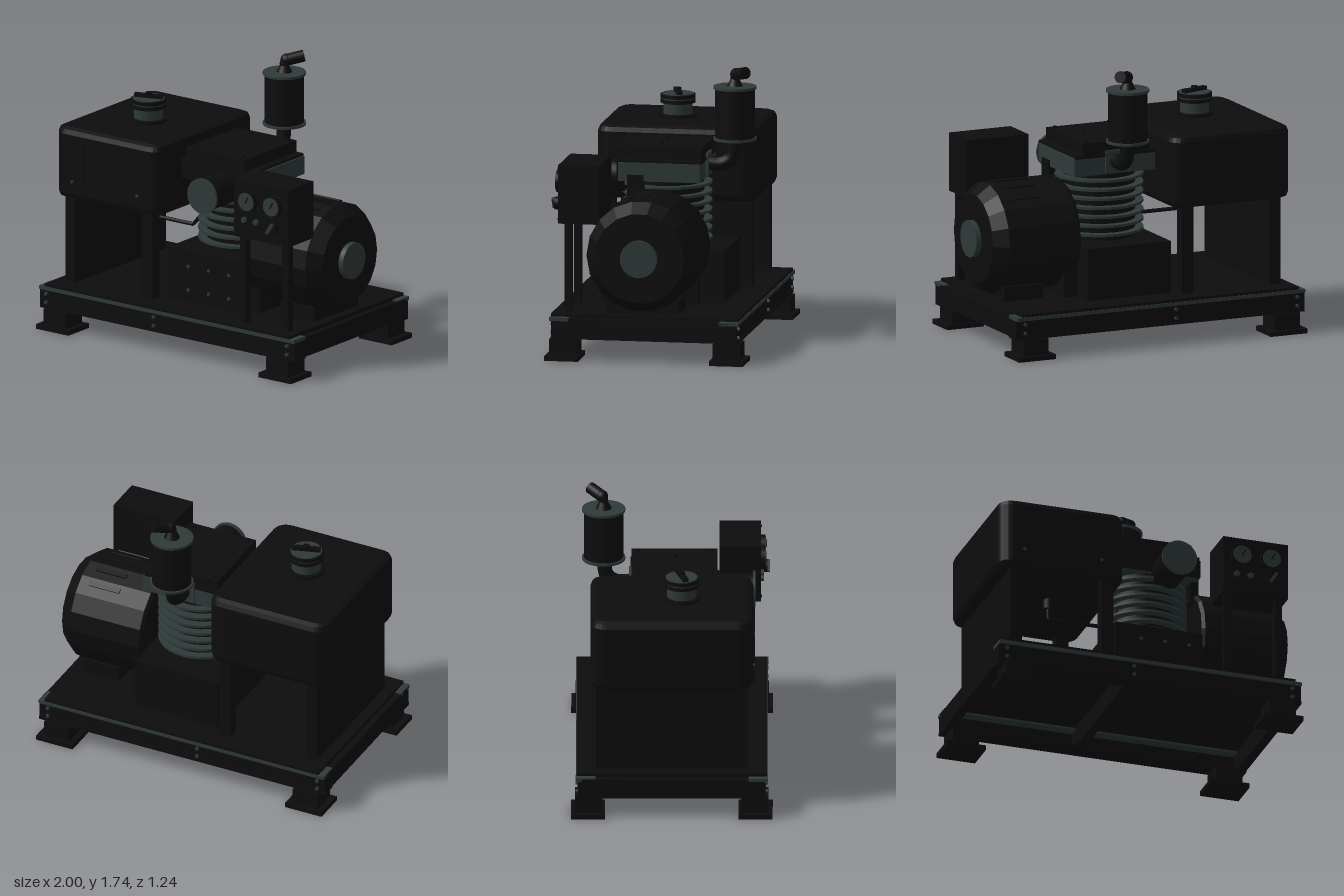
import * as THREE from 'three';

const mat = (name, color) => Object.assign(new THREE.MeshStandardMaterial({ color }), { name });

export function createModel() {
  const model = new THREE.Group();
  const black = mat('black paint', 0x0d0d0d);
  const steel = mat('dull steel', 0x2f3a39);

  const add = (name, geo, m, x = 0, y = 0, z = 0, parent = model) => {
    const mesh = new THREE.Mesh(geo, m);
    mesh.name = name;
    mesh.position.set(x, y, z);
    parent.add(mesh);
    return mesh;
  };
  // Box given by its limits on each axis
  const box = (name, m, x0, x1, y0, y1, z0, z1) =>
    add(name, new THREE.BoxGeometry(x1 - x0, y1 - y0, z1 - z0), m, (x0 + x1) / 2, (y0 + y1) / 2, (z0 + z1) / 2);
  // Cylinder along a chosen axis
  const cyl = (name, m, r, h, x, y, z, axis = 'y', sides = 32, r2 = r) => {
    const g = new THREE.CylinderGeometry(r, r2, h, sides);
    if (axis === 'x') g.rotateZ(-Math.PI / 2);
    if (axis === 'z') g.rotateX(Math.PI / 2);
    return add(name, g, m, x, y, z);
  };
  const tube = (name, m, pts, r, straight = false) => {
    const v = pts.map(p => new THREE.Vector3(...p));
    let path = new THREE.CatmullRomCurve3(v);
    if (straight) {
      path = new THREE.CurvePath();
      for (let i = 1; i < v.length; i++) path.add(new THREE.LineCurve3(v[i - 1], v[i]));
    }
    return add(name, new THREE.TubeGeometry(path, 40, r, 14), m);
  };

  // Skid frame: deck, channel rails with steel flanges, cross beams
  box('deck', black, -0.96, 0.92, 0.265, 0.29, -0.585, 0.585);
  for (const s of [-1, 1]) {
    const rail = (name, m, y0, y1, zi, zo) => box(name, m, -1, 0.96, y0, y1, Math.min(s * zi, s * zo), Math.max(s * zi, s * zo));
    rail('railTopFlange', steel, 0.25, 0.272, 0.47, 0.59);
    rail('railWeb', black, 0.13, 0.25, 0.535, 0.575);
    rail('railBottomFlange', black, 0.13, 0.15, 0.47, 0.58);
    for (const x of [-0.95, -0.125, 0.9])
      for (const y of [0.17, 0.225]) cyl('railBolt', steel, 0.012, 0.02, x, y, s * 0.58, 'z', 6);
    // Feet
    for (const x of [-0.875, 0.835]) {
      box('footPlate', black, x - 0.125, x + 0.125, 0, 0.03, s * 0.515 - 0.105, s * 0.515 + 0.105);
      box('footBlock', black, x - 0.085, x + 0.085, 0.03, 0.13, s * 0.51 - 0.085, s * 0.51 + 0.085);
    }
  }
  for (const x of [-0.97, -0.12, 0.93]) box('crossBeam', black, x - 0.03, x + 0.03, 0.14, 0.265, -0.55, 0.55);

  // Tank stand
  box('standEndPanel', black, -0.89, -0.815, 0.29, 0.84, -0.465, 0.465);
  for (const s of [-1, 1]) box('standPost', black, -0.3, -0.22, 0.29, 0.84, s * 0.43 - 0.035, s * 0.43 + 0.035);

  // Fuel tank with rounded corners and bevelled rims
  const w = 0.365, d = 0.46, c = 0.06;
  const plan = new THREE.Shape();
  plan.moveTo(-w + c, -d);
  plan.lineTo(w - c, -d);
  plan.quadraticCurveTo(w, -d, w, -d + c);
  plan.lineTo(w, d - c);
  plan.quadraticCurveTo(w, d, w - c, d);
  plan.lineTo(-w + c, d);
  plan.quadraticCurveTo(-w, d, -w, d - c);
  plan.lineTo(-w, -d + c);
  plan.quadraticCurveTo(-w, -d, -w + c, -d);
  const tank = new THREE.ExtrudeGeometry(plan, { depth: 0.375, bevelThickness: 0.04, bevelSize: 0.04, bevelSegments: 2, curveSegments: 6 });
  tank.rotateX(-Math.PI / 2);
  add('fuelTank', tank, black, -0.555, 0.87, 0);
  box('sightGauge', black, -0.735, -0.72, 0.93, 1.2, 0.5, 0.508);
  for (const x of [-0.81, -0.31]) cyl('tankBolt', steel, 0.01, 0.012, x, 0.95, 0.503, 'z', 8);

  // Filler neck and cap
  const fx = -0.555, fz = 0.06;
  cyl('fillerFlange', black, 0.115, 0.02, fx, 1.295, fz);
  cyl('fillerNeck', steel, 0.09, 0.08, fx, 1.34, fz);
  cyl('capSkirt', black, 0.108, 0.022, fx, 1.384, fz);
  cyl('capRing', steel, 0.1, 0.015, fx, 1.4, fz);
  cyl('capTop', black, 0.108, 0.022, fx, 1.415, fz);
  cyl('capFace', steel, 0.098, 0.006, fx, 1.428, fz);
  add('capHandle', new THREE.BoxGeometry(0.18, 0.025, 0.035), black, fx, 1.44, fz).rotation.y = 0.3;
  cyl('capKnob', black, 0.02, 0.02, fx, 1.455, fz);

  // Fuel valve and line
  cyl('fuelValve', black, 0.034, 0.06, -0.52, 0.79, 0.1, 'y', 8);
  cyl('fuelValveNeck', black, 0.018, 0.04, -0.52, 0.83, 0.1);
  tube('fuelLine', black, [[-0.52, 0.77, 0.1], [-0.52, 0.695, 0.1], [-0.18, 0.695, 0.1], [-0.02, 0.88, 0.1]], 0.012, true);

  // Crankcase with bolted cover
  box('crankcase', black, -0.175, 0.39, 0.29, 0.615, -0.4, 0.365);
  box('crankcaseCover', black, -0.06, 0.36, 0.33, 0.57, 0.365, 0.373);
  for (const x of [-0.01, 0.145, 0.3])
    for (const y of [0.37, 0.52]) cyl('coverBolt', steel, 0.011, 0.014, x, y, 0.376, 'z', 6);

  // Finned cylinder and head
  cyl('cylinderBarrel', black, 0.225, 0.45, 0.125, 0.825, 0);
  for (let i = 0; i < 7; i++) cyl('coolingFin', steel, 0.275, 0.016, 0.125, 0.655 + i * 0.057, 0, 'y', 40);
  box('cylinderHead', steel, -0.14, 0.41, 1.04, 1.155, -0.25, 0.26);
  box('headFrontPlate', black, -0.14, 0.41, 1.04, 1.155, 0.26, 0.268);
  box('headCover', black, -0.1, 0.35, 1.155, 1.245, -0.25, 0.28);
  box('headCoverRim', black, -0.14, 0.4, 1.15, 1.17, -0.255, 0.28);
  for (const x of [-0.06, 0.31])
    for (const z of [-0.21, 0.24]) cyl('headBolt', black, 0.012, 0.015, x, 1.25, z, 'y', 6);
  for (const x of [0.03, 0.22]) cyl('headPlug', black, 0.012, 0.015, x, 1.25, 0.02, 'y', 6);
  box('headBracket', black, 0.37, 0.42, 0.9, 1.08, 0.1, 0.2);

  // Air intake
  cyl('airIntake', black, 0.1, 0.25, 0.195, 1.04, 0.375, 'z');
  cyl('airIntakeCap', steel, 0.112, 0.016, 0.195, 1.04, 0.505, 'z');

  // Exhaust pipe, silencer and outlet
  const sx = 0.128, sz = -0.42;
  box('exhaustFlange', steel, 0.055, 0.2, 1.05, 1.19, -0.265, -0.25);
  tube('exhaustPipe', black, [[sx, 1.12, -0.26], [sx, 1.12, -0.34], [sx, 1.16, -0.4], [sx, 1.28, sz]], 0.045);
  cyl('silencerBody', black, 0.122, 0.32, sx, 1.437, sz);
  for (const y of [1.277, 1.597]) cyl('silencerCap', steel, 0.133, 0.016, sx, y, sz, 'y', 40);
  cyl('outletNeck', black, 0.025, 0.05, sx, 1.628, sz, 'y', 20, 0.05);
  tube('outletStem', black, [[sx, 1.63, sz], [sx, 1.665, sz], [sx + 0.02, 1.685, sz - 0.02]], 0.027);
  const horn = new THREE.CylinderGeometry(0.037, 0.037, 0.12, 20);
  const outlet = add('outletElbow', horn, black, 0.175, 1.69, -0.463);
  outlet.quaternion.setFromUnitVectors(new THREE.Vector3(0, 1, 0), new THREE.Vector3(0.65, 0.2, -0.6).normalize());
  add('outletKnuckle', new THREE.SphereGeometry(0.038, 16, 12), black, 0.138, 1.68, -0.43);

  // Alternator with stepped end bell, feet and vent ribs
  const profile = [[0, 0], [0.33, 0], [0.345, 0.02], [0.345, 0.49], [0.28, 0.575], [0, 0.575]].map(p => new THREE.Vector2(...p));
  const bell = new THREE.LatheGeometry(profile, 18).toNonIndexed();
  bell.rotateZ(-Math.PI / 2);
  bell.computeVertexNormals();
  add('alternator', bell, black, 0.39, 0.655, 0.025);
  cyl('alternatorHub', steel, 0.115, 0.035, 0.982, 0.655, 0.025, 'x');
  for (let i = -2; i <= 2; i++) {
    const a = i * 0.32;
    const rib = add('ventRib', new THREE.BoxGeometry(0.21, 0.012, 0.03), black, 0.71, 0.655 + 0.343 * Math.cos(a), 0.025 + 0.343 * Math.sin(a));
    rib.rotation.x = a;
  }
  box('alternatorFoot', black, 0.39, 0.48, 0.29, 0.5, -0.25, 0.3);
  box('alternatorRearFoot', black, 0.6, 0.86, 0.29, 0.38, -0.2, 0.25);

  // Control box on two posts
  box('controlBox', black, 0.465, 0.885, 0.845, 1.21, 0.29, 0.545);
  for (const x of [0.51, 0.835]) box('controlPost', black, x - 0.024, x + 0.024, 0.29, 0.845, 0.465, 0.51);
  for (const x of [0.58, 0.77]) {
    cyl('gaugeRim', black, 0.068, 0.03, x, 1.09, 0.558, 'z');
    cyl('gaugeFace', steel, 0.058, 0.008, x, 1.09, 0.573, 'z');
    add('gaugeNeedle', new THREE.BoxGeometry(0.008, 0.045, 0.004), black, x + 0.008, 1.102, 0.579).rotation.z = -0.5;
  }
  for (const x of [0.55, 0.64]) cyl('indicator', steel, 0.018, 0.02, x, 0.965, 0.553, 'z', 16);
  cyl('switchBase', black, 0.04, 0.04, 0.775, 0.955, 0.565, 'z', 20);
  add('switchLever', new THREE.BoxGeometry(0.02, 0.075, 0.02), steel, 0.775, 0.955, 0.592).rotation.z = -0.6;
  for (const x of [0.49, 0.86])
    for (const y of [0.87, 1.185]) cyl('panelScrew', black, 0.009, 0.01, x, y, 0.548, 'z', 8);

  return model;
}
